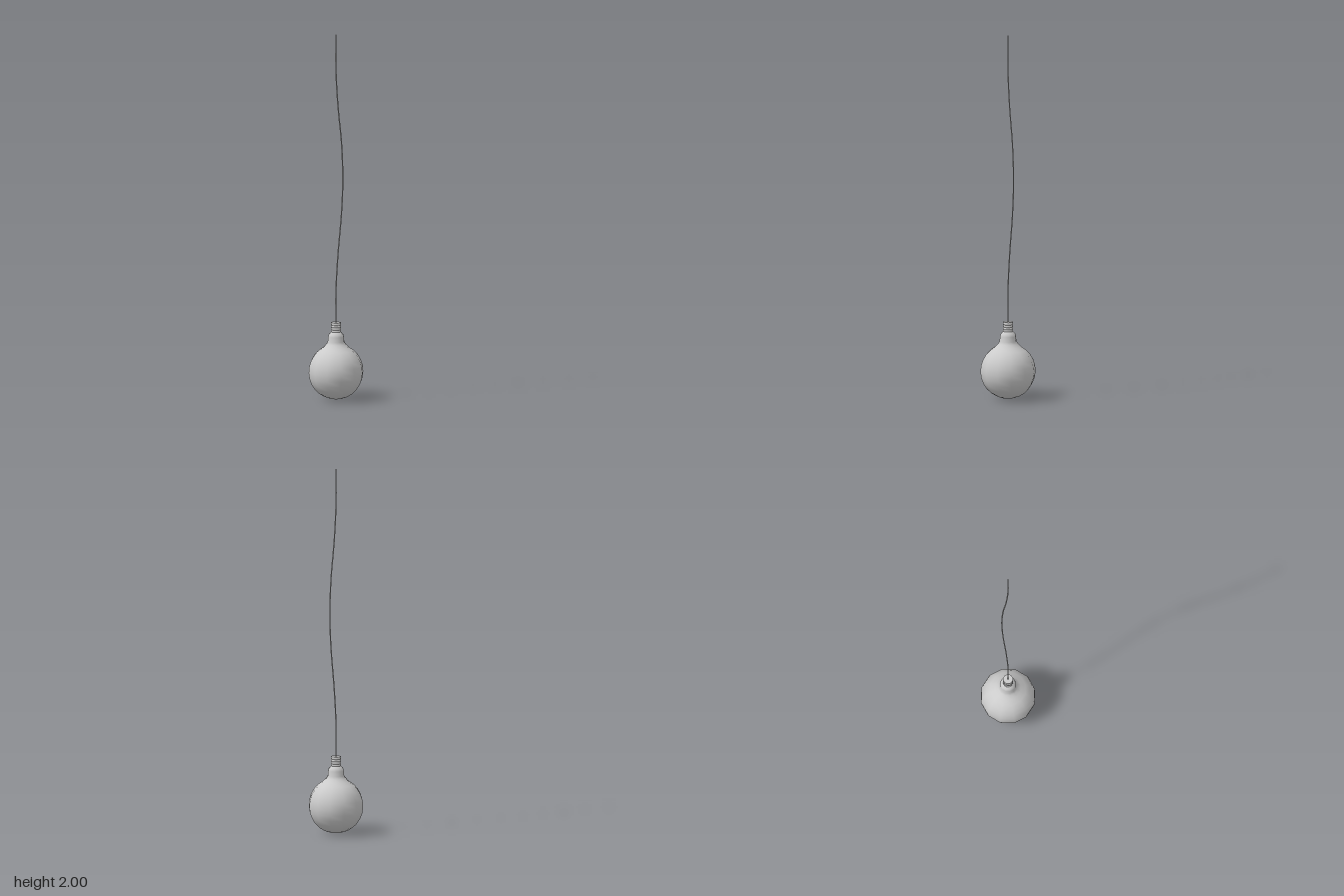
import * as THREE from 'three';

const SIDES = 12;

function lathe(name, pairs, material) {
  const points = pairs.map(([r, y]) => new THREE.Vector2(r, y));
  const mesh = new THREE.Mesh(new THREE.LatheGeometry(points, SIDES), material);
  mesh.name = name;
  return mesh;
}

export function createModel() {
  const group = new THREE.Group();
  group.name = 'hangingBulb';
  const grey = new THREE.MeshStandardMaterial({ color: 0xcccccc, side: THREE.DoubleSide });

  // Round glass, flowing into a short neck
  const glass = [];
  const R = 0.151;
  for (let i = 0; i <= 12; i++) {
    const a = (i / 12) * Math.PI * 0.845;
    glass.push([R * Math.sin(a), R - R * Math.cos(a)]);
  }
  glass.push([0.054, 0.302], [0.046, 0.315], [0.044, 0.342], [0.04, 0.355], [0.03, 0.366], [0.024, 0.37]);
  group.add(lathe('glassBulb', glass, grey));

  // Screw base with thread ridges and a flat cap
  const screw = [[0.022, 0.364]];
  const ridges = 4, pitch = 0.013;
  for (let i = 0; i < ridges; i++) {
    const y = 0.367 + i * pitch;
    screw.push([0.024, y], [0.028, y + 0.003], [0.028, y + 0.009], [0.024, y + 0.012]);
  }
  group.add(lathe('screwBase', screw, grey));
  const cap = new THREE.Mesh(new THREE.CylinderGeometry(0.027, 0.027, 0.004, SIDES), grey);
  cap.name = 'baseCap';
  cap.position.y = 0.419;
  group.add(cap);

  // Thin cord bowing sideways on its way up
  const path = new THREE.CatmullRomCurve3([
    [0, 0.415], [0, 0.6], [0.015, 0.8], [0.04, 1.02], [0.049, 1.2],
    [0.04, 1.4], [0.015, 1.6], [0, 1.8], [0, 2],
  ].map(([x, y]) => new THREE.Vector3(x, y, 0)));
  const cord = new THREE.Mesh(new THREE.TubeGeometry(path, 24, 0.0035, 6), grey);
  cord.name = 'cord';
  group.add(cord);

  // Closed upper end of the cord
  const end = new THREE.Mesh(new THREE.CircleGeometry(0.0035, 6), grey);
  end.name = 'cordEnd';
  end.rotation.x = -Math.PI / 2;
  end.position.y = 2;
  group.add(end);

  return group;
}
